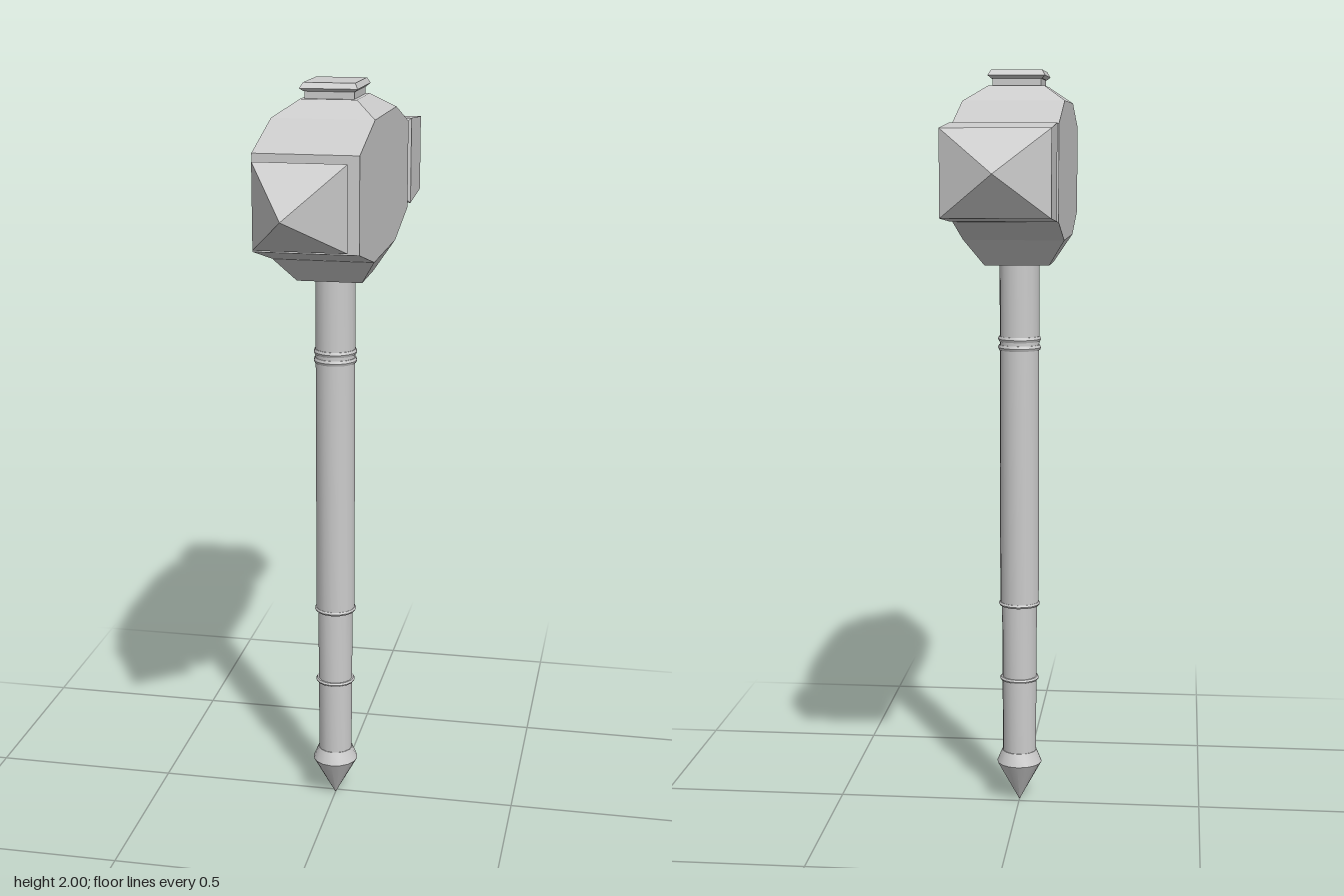
import * as THREE from 'three';
import { toCreasedNormals } from 'three/addons/utils/BufferGeometryUtils.js';

const material = new THREE.MeshStandardMaterial({ color: 0xcccccc });
const HANDLE_Z = 0.015;
const HEAD_Y = 1.745;

// Joins convex rings of points (counter-clockwise seen from the far end) into a closed flat-faced solid
function loft(rings) {
  const pos = [];
  const tri = (a, b, c) => {
    const area = new THREE.Triangle(a, b, c).getArea();
    if (area > 1e-8) pos.push(...a.toArray(), ...b.toArray(), ...c.toArray());
  };
  const n = rings[0].length;
  const first = rings[0], last = rings[rings.length - 1];
  for (let i = 0; i < rings.length - 1; i++) {
    for (let j = 0; j < n; j++) {
      const k = (j + 1) % n;
      const [a, b] = [rings[i], rings[i + 1]];
      tri(a[j], a[k], b[k]);
      tri(a[j], b[k], b[j]);
    }
  }
  for (let j = 1; j < n - 1; j++) {
    tri(first[0], first[j + 1], first[j]);
    tri(last[0], last[j], last[j + 1]);
  }
  const g = new THREE.BufferGeometry();
  g.setAttribute('position', new THREE.Float32BufferAttribute(pos, 3));
  g.computeVertexNormals();
  return g;
}

const V = (x, y, z) => new THREE.Vector3(x, y, z);

// Rectangular ring across z: half width and half height around the head axis
const ringZ = ([z, w, h]) => [
  V(-w, HEAD_Y - h, z), V(w, HEAD_Y - h, z), V(w, HEAD_Y + h, z), V(-w, HEAD_Y + h, z),
];

// Rectangular ring across y: half width and half depth around the handle axis
const ringY = ([y, w, d]) => [
  V(-w, y, HANDLE_Z - d), V(-w, y, HANDLE_Z + d), V(w, y, HANDLE_Z + d), V(w, y, HANDLE_Z - d),
];

export function createModel() {
  const model = new THREE.Group();
  model.name = 'warHammer';
  const add = (name, geometry) => {
    const mesh = new THREE.Mesh(geometry, material);
    mesh.name = name;
    model.add(mesh);
    return mesh;
  };

  // Head block: an eight-sided side profile with flat cheeks
  const profile = [
    [1.86, 0.38], [1.92, 0.175], [1.92, -0.148], [1.86, -0.355],
    [1.625, -0.355], [1.57, -0.148], [1.57, 0.175], [1.625, 0.38],
  ].reverse();
  add('headBlock', loft([-0.13, 0.13].map((x) => profile.map(([y, z]) => V(x, y, z)))));

  // Sloped shoulders above and below the block
  add('headTopSlope', loft([[1.92, 0.13, 0.161], [1.96, 0.072, 0.09]].map(ringY)));
  add('headSocket', loft([[1.5, 0.085, 0.08], [1.57, 0.13, 0.161]].map(ringY)));

  // Cap on top of the head
  add('capNeck', loft([[1.95, 0.063, 0.078], [1.98, 0.063, 0.078]].map(ringY)));
  add('cap', loft([[1.978, 0.065, 0.08], [1.986, 0.074, 0.092], [2.0, 0.066, 0.082]].map(ringY)));

  // Front spike and its neck
  add('spikeNeck', loft([[0.37, 0.093, 0.085], [0.43, 0.093, 0.085]].map(ringZ)));
  add('spike', loft([[0.422, 0.095, 0.087], [0.447, 0.114, 0.104], [0.655, 0, 0]].map(ringZ)));

  // Rear striking face and its neck
  add('strikerNeck', loft([[-0.41, 0.09, 0.085], [-0.345, 0.09, 0.085]].map(ringZ)));
  add('striker', loft([
    [-0.66, 0, 0], [-0.585, 0.13, 0.103], [-0.41, 0.13, 0.117], [-0.396, 0.115, 0.103],
  ].map(ringZ)));

  // Handle parts turned around the shaft axis
  const turned = (name, points) => {
    const lathe = new THREE.LatheGeometry(points.map(([r, y]) => new THREE.Vector2(r, y)), 16);
    add(name, toCreasedNormals(lathe, 0.5)).position.z = HANDLE_Z;
  };
  turned('shaft', [[0, 0.57], [0.053, 0.57], [0.053, 1.53], [0, 1.53]]);
  turned('grip', [[0, 0.14], [0.046, 0.14], [0.048, 0.57], [0, 0.57]]);
  turned('pommel', [[0, 0.005], [0.062, 0.118], [0.048, 0.152], [0, 0.152]]);

  // Raised bands on the handle
  for (const [y, r, h] of [[1.3, 0.058, 0.014], [1.277, 0.058, 0.014], [0.572, 0.057, 0.01], [0.36, 0.054, 0.01]]) {
    turned('handleBand', [
      [0.04, y - h / 2], [r - 0.003, y - h / 2], [r, y], [r - 0.003, y + h / 2], [0.04, y + h / 2],
    ]);
  }
  return model;
}
